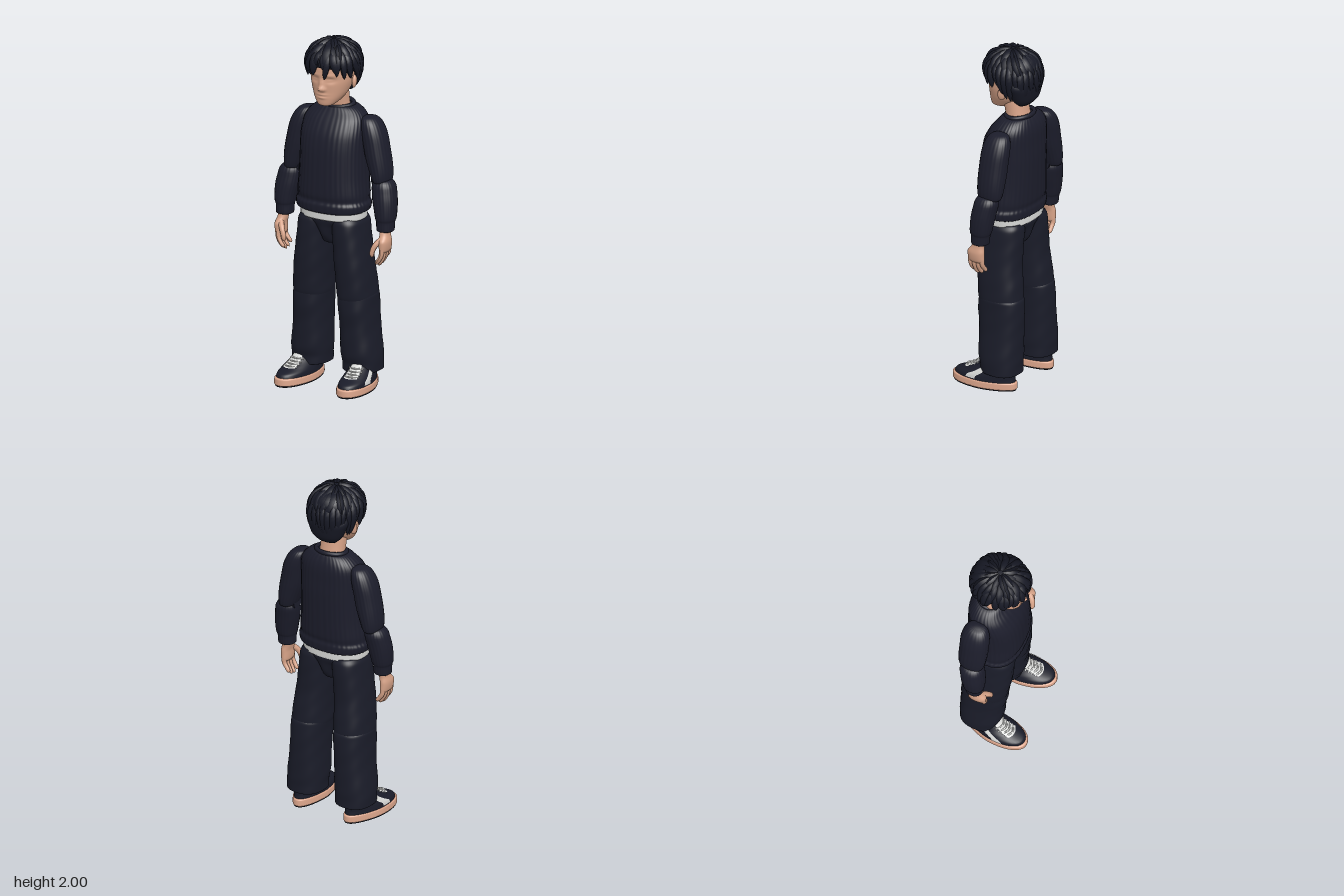
import * as THREE from 'three';

const mat = (name, color) => Object.assign(new THREE.MeshStandardMaterial({ color }), { name });
const M = {
  hair: mat('hairBlack', 0x171925),
  knit: mat('knitNavy', 0x1c1d2b),
  pants: mat('trouserNavy', 0x1a1c29),
  skin: mat('skin', 0xd6a287),
  sole: mat('soleTan', 0xdda68c),
  white: mat('white', 0xd9dad8),
};
M.white.side = THREE.DoubleSide;

function add(parent, name, geometry, material) {
  const mesh = new THREE.Mesh(geometry, material);
  mesh.name = name;
  parent.add(mesh);
  return mesh;
}

// Smooth, overshoot-free blend of sections [y, cx, cz, rx, rz] at t in 0..1
function sectionAt(s, t) {
  const last = s.length - 1, f = Math.min(t * last, last - 1e-6), i = Math.floor(f), u = f - i;
  const tangent = (k, c) => {
    if (k === 0 || k === last) return s[Math.min(k + 1, last)][c] - s[Math.max(k - 1, 0)][c];
    const d0 = s[k][c] - s[k - 1][c], d1 = s[k + 1][c] - s[k][c];
    return d0 * d1 <= 0 ? 0 : 2 * d0 * d1 / (d0 + d1);
  };
  return s[i].map((p, c) => {
    const q = s[i + 1][c], u2 = u * u, u3 = u2 * u;
    return p * (2 * u3 - 3 * u2 + 1) + tangent(i, c) * (u3 - 2 * u2 + u) + q * (3 * u2 - 2 * u3) + tangent(i + 1, c) * (u3 - u2);
  });
}

// Lofted body of superellipse rings, bottom to top; an angle range makes an open patch
function loft(sections, o = {}) {
  const { n = 2.2, segs = 40, rings = 28, rib = 0, ribs = 0, fold = 0, grow = 0, a0 = 0, a1 = Math.PI * 2, t0 = 0, t1 = 1, warp } = o;
  const closed = a1 - a0 > 6.28, cols = closed ? segs : segs + 1;
  const pos = [], idx = [];
  const pw = v => Math.sign(v) * Math.abs(v) ** (2 / n);
  const put = (x, y, z) => { const p = new THREE.Vector3(x, y, z); if (warp) warp(p); pos.push(p.x, p.y, p.z); };
  for (let j = 0; j <= rings; j++) {
    const [y, cx, cz, rx, rz] = sectionAt(sections, t0 + (t1 - t0) * j / rings);
    for (let i = 0; i < cols; i++) {
      const a = a0 + (a1 - a0) * i / segs;
      const k = 1 + rib * Math.cos(ribs * a) + fold * Math.sin(3 * a + 22 * y) * Math.sin(31 * y + a);
      put(cx + (rx + grow) * k * pw(Math.cos(a)), y + grow, cz + (rz + grow) * k * pw(Math.sin(a)));
    }
  }
  for (let j = 0; j < rings; j++) for (let i = 0; i < segs; i++) {
    const p = j * cols + i, q = j * cols + (i + 1) % cols;
    idx.push(p, p + cols, q, q, p + cols, q + cols);
  }
  if (closed) for (const top of [0, 1]) {
    const [y, cx, cz] = sections[top ? sections.length - 1 : 0], c = pos.length / 3, r = top * rings * cols;
    put(cx, y, cz);
    for (let i = 0; i < cols; i++) {
      const p = r + i, q = r + (i + 1) % cols;
      if (top) idx.push(c, q, p);
      else idx.push(c, p, q);
    }
  }
  const g = new THREE.BufferGeometry();
  g.setAttribute('position', new THREE.Float32BufferAttribute(pos, 3));
  g.setIndex(idx);
  g.computeVertexNormals();
  return g;
}

// Tube whose radius follows a profile f(t)
function taperTube(points, r, f, steps = 12, sides = 8) {
  const curve = new THREE.CatmullRomCurve3(points);
  const g = new THREE.TubeGeometry(curve, steps, r, sides), p = g.attributes.position, v = new THREE.Vector3();
  for (let i = 0; i < p.count; i++) {
    const t = Math.floor(i / (sides + 1)) / steps, c = curve.getPointAt(t);
    v.fromBufferAttribute(p, i).sub(c).multiplyScalar(f(t)).add(c);
    p.setXYZ(i, v.x, v.y, v.z);
  }
  g.computeVertexNormals();
  return g;
}
const V = (x, y, z) => new THREE.Vector3(x, y, z);
const side = (s, rows) => rows.map(([y, cx, ...r]) => [y, cx * s, ...r]);

function buildHead(root) {
  const head = new THREE.Group();
  head.name = 'head';
  root.add(head);
  // Face features are soft bumps and hollows on the front of the skull
  const bump = (p, x, y, sx, sy, h) => { p.z += h * Math.exp(-(((p.x - x) / sx) ** 2) - ((p.y - y) / sy) ** 2); };
  const face = p => {
    if (p.z < 0.03) return;
    bump(p, 0, 1.735, 0.016, 0.016, 0.026);
    bump(p, 0, 1.765, 0.013, 0.026, 0.014);
    for (const s of [-1, 1]) {
      bump(p, s * 0.05, 1.785, 0.027, 0.015, -0.013);
      bump(p, s * 0.048, 1.783, 0.02, 0.007, 0.007);
      bump(p, s * 0.05, 1.812, 0.035, 0.01, 0.004);
      bump(p, s * 0.016, 1.729, 0.01, 0.009, 0.008);
    }
    bump(p, 0, 1.699, 0.026, 0.007, 0.007);
    bump(p, 0, 1.691, 0.03, 0.003, -0.005);
    bump(p, 0, 1.682, 0.022, 0.007, 0.007);
  };
  add(head, 'face', loft([[1.628, 0, 0.05, 0.015, 0.015], [1.636, 0, 0.04, 0.042, 0.043], [1.67, 0, 0.01, 0.075, 0.08],
    [1.72, 0, -0.018, 0.102, 0.108], [1.78, 0, -0.03, 0.117, 0.123], [1.84, 0, -0.035, 0.12, 0.13],
    [1.9, 0, -0.04, 0.11, 0.12], [1.95, 0, -0.04, 0.07, 0.08], [1.96, 0, -0.04, 0.02, 0.02]],
  { segs: 88, rings: 80, warp: face }), M.skin);
  add(head, 'neck', loft([[1.56, 0, -0.088, 0.078, 0.065], [1.63, 0, -0.073, 0.072, 0.063], [1.73, 0, -0.055, 0.075, 0.065]], { rings: 8 }), M.skin);
  for (const s of [-1, 1]) {
    const ear = add(head, s > 0 ? 'leftEar' : 'rightEar', new THREE.SphereGeometry(1, 20, 14), M.skin);
    ear.scale.set(0.014, 0.038, 0.024);
    ear.position.set(s * 0.124, 1.762, -0.055);
    ear.rotation.set(-0.2, s * 0.35, 0);
  }
  // Hair mass, stepped back below the fringe
  add(head, 'hairCap', loft([[1.685, 0, -0.13, 0.06, 0.03], [1.72, 0, -0.128, 0.095, 0.06], [1.78, 0, -0.125, 0.122, 0.076],
    [1.81, 0, -0.112, 0.135, 0.09], [1.84, 0, -0.07, 0.14, 0.13], [1.865, 0, -0.048, 0.142, 0.152],
    [1.92, 0, -0.05, 0.127, 0.146], [1.965, 0, -0.06, 0.085, 0.1], [1.985, 0, -0.06, 0.03, 0.04]]), M.hair);
  // Locks run from the crown over an egg-shaped scalp
  const scalp = (phi, th, k) => {
    const c = Math.cos(th), r = c > 0 ? Math.sin(th) : Math.sqrt(Math.sin(th));
    return V(0.138 * r * k * Math.sin(phi), 1.862 + (c > 0 ? 0.118 : 0.19) * c, -0.042 + 0.152 * r * k * Math.cos(phi));
  };
  let seed = 7;
  const rnd = () => (seed = (seed * 16807) % 2147483647) / 2147483647;
  const deg = Math.PI / 180;
  const endAngle = phi => {
    const a = Math.abs(phi);
    return a < 0.2 ? 94 : a < 0.85 ? 105 : a < 1.75 ? 114 : a < 2.2 ? 130 : 150;
  };
  const layers = [[30, 50, 0, 0.021], [22, 25, 88, 0.022], [12, 4, 58, 0.021]];
  layers.forEach(([count, from, to, r], layer) => {
    for (let i = 0; i < count; i++) {
      const phi = ((i + 0.5 + layer * 0.3) / count * 2 - 1) * Math.PI;
      const end = (to || endAngle(phi)) + (rnd() - 0.5) * 14, sweep = Math.sign(phi) * 0.12 + (rnd() - 0.5) * 0.5;
      const pts = [0, 0.35, 0.7, 1].map(t => scalp(phi + sweep * t * t, (from + (end - from) * t) * deg, t === 1 ? 1.07 : 1 + 0.03 * t));
      add(head, 'hairLock', taperTube(pts, r * (0.85 + 0.35 * rnd()), t => 0.06 + Math.max(0, Math.sin(Math.PI * (0.2 + 0.8 * t))) ** 0.7), M.hair);
    }
  });
}

function buildTorso(root) {
  add(root, 'sweater', loft([[1.015, 0, -0.04, 0.19, 0.14], [1.025, 0, -0.04, 0.209, 0.153], [1.06, 0, -0.04, 0.216, 0.156],
    [1.085, 0, -0.042, 0.205, 0.15], [1.12, 0, -0.042, 0.206, 0.156], [1.22, 0, -0.045, 0.197, 0.157], [1.35, 0, -0.05, 0.194, 0.156],
    [1.45, 0, -0.057, 0.195, 0.147], [1.53, 0, -0.075, 0.186, 0.126], [1.58, 0, -0.088, 0.153, 0.098], [1.607, 0, -0.09, 0.108, 0.078],
    [1.612, 0, -0.09, 0.07, 0.06]], { n: 2.4, segs: 240, rings: 44, rib: 0.005, ribs: 40 }), M.knit);
  const collar = add(root, 'collar', new THREE.TorusGeometry(0.089, 0.013, 12, 48).rotateX(Math.PI / 2), M.knit);
  collar.scale.z = 0.82;
  collar.position.set(0, 1.61, -0.09);
  collar.rotation.x = 0.1;
  add(root, 'shirtHem', loft([[0.972, 0, -0.042, 0.18, 0.13], [0.978, 0, -0.042, 0.19, 0.138], [1.03, 0, -0.042, 0.192, 0.138]], { n: 2.4, rings: 8 }), M.white);
  add(root, 'pelvis', loft([[0.815, 0, -0.045, 0.015, 0.03], [0.83, 0, -0.045, 0.04, 0.075], [0.88, 0, -0.045, 0.055, 0.112],
    [0.93, 0, -0.045, 0.1, 0.122], [0.97, 0, -0.045, 0.18, 0.13], [1.0, 0, -0.045, 0.18, 0.13]]), M.pants);
}

function buildArm(root, s) {
  const arm = new THREE.Group();
  arm.name = s > 0 ? 'leftArm' : 'rightArm';
  root.add(arm);
  const knit = { segs: 132, rings: 28, rib: 0.007, ribs: 22 };
  add(arm, 'upperSleeve', loft(side(s, [[1.19, 0.285, -0.09, 0.025, 0.04], [1.2, 0.285, -0.09, 0.044, 0.068], [1.25, 0.278, -0.09, 0.058, 0.078],
    [1.35, 0.256, -0.09, 0.068, 0.082], [1.45, 0.236, -0.092, 0.067, 0.082], [1.52, 0.215, -0.094, 0.058, 0.072],
    [1.555, 0.2, -0.095, 0.038, 0.048], [1.564, 0.195, -0.095, 0.01, 0.015]]), knit), M.knit);
  add(arm, 'elbow', new THREE.CylinderGeometry(0.034, 0.034, 0.08, 24).rotateZ(Math.PI / 2).translate(s * 0.275, 1.205, -0.083), M.knit);
  add(arm, 'lowerSleeve', loft(side(s, [[0.925, 0.325, -0.055, 0.038, 0.04], [0.932, 0.325, -0.055, 0.048, 0.05], [0.98, 0.325, -0.057, 0.05, 0.054],
    [0.997, 0.325, -0.058, 0.056, 0.06], [1.04, 0.322, -0.062, 0.062, 0.065], [1.11, 0.312, -0.07, 0.069, 0.068],
    [1.17, 0.302, -0.08, 0.067, 0.068], [1.207, 0.298, -0.083, 0.048, 0.052], [1.218, 0.298, -0.083, 0.015, 0.02]]), knit), M.knit);
  // Relaxed hand
  add(arm, 'palm', loft(side(s, [[0.81, 0.333, -0.035, 0.013, 0.04], [0.825, 0.335, -0.035, 0.023, 0.052], [0.87, 0.337, -0.033, 0.028, 0.053],
    [0.91, 0.33, -0.043, 0.028, 0.038], [0.95, 0.325, -0.053, 0.03, 0.034]]), { segs: 32, rings: 24 }), M.skin);
  const round = t => (1 - 0.25 * t) * Math.sqrt(Math.max(0.002, 1 - Math.max(0, (t - 0.8) / 0.2) ** 2));
  for (let i = 0; i < 4; i++) {
    const z = 0.005 - i * 0.026, drop = [0.012, 0, 0.005, 0.022][i];
    add(arm, 'finger', taperTube([V(s * 0.336, 0.835, z), V(s * 0.332, 0.79 + drop * 0.5, z), V(s * 0.316, 0.755 + drop, z), V(s * 0.295, 0.73 + drop, z - 0.004)], 0.0148, round, 16, 12), M.skin);
  }
  add(arm, 'thumb', taperTube([V(s * 0.325, 0.885, -0.01), V(s * 0.302, 0.855, 0.016), V(s * 0.288, 0.82, 0.024), V(s * 0.283, 0.785, 0.022)], 0.0175, round, 16, 12), M.skin);
}

function buildLeg(root, s) {
  const leg = new THREE.Group();
  leg.name = s > 0 ? 'leftLeg' : 'rightLeg';
  root.add(leg);
  const cloth = { n: 2.4, segs: 48, rings: 44, fold: 0.012 };
  add(leg, 'upperTrouser', loft(side(s, [[0.48, 0.142, -0.065, 0.07, 0.09], [0.495, 0.142, -0.065, 0.094, 0.118], [0.54, 0.141, -0.063, 0.102, 0.13],
    [0.62, 0.137, -0.057, 0.1, 0.132], [0.75, 0.126, -0.046, 0.097, 0.13], [0.88, 0.114, -0.046, 0.092, 0.132],
    [0.95, 0.106, -0.046, 0.092, 0.13], [0.985, 0.1, -0.046, 0.082, 0.118]]), cloth), M.pants);
  add(leg, 'lowerTrouser', loft(side(s, [[0.095, 0.162, -0.085, 0.095, 0.105], [0.1, 0.163, -0.085, 0.106, 0.115], [0.14, 0.163, -0.084, 0.108, 0.116],
    [0.2, 0.16, -0.078, 0.11, 0.124], [0.35, 0.151, -0.075, 0.102, 0.126], [0.46, 0.146, -0.069, 0.101, 0.133],
    [0.53, 0.143, -0.068, 0.102, 0.13], [0.555, 0.143, -0.07, 0.085, 0.105], [0.562, 0.143, -0.07, 0.03, 0.04]]), cloth), M.pants);
  // Shoe, turned slightly outward, narrower at the heel
  const shoe = new THREE.Group();
  shoe.name = s > 0 ? 'leftShoe' : 'rightShoe';
  shoe.position.x = s * 0.187;
  shoe.rotation.y = s * 0.1;
  leg.add(shoe);
  const warp = p => { p.x *= 1 - 0.22 * Math.max(0, Math.min(1, -p.z / 0.16)); };
  const upper = [[0.04, 0, 0.01, 0.084, 0.19], [0.065, 0, 0.005, 0.082, 0.183], [0.09, 0, -0.025, 0.077, 0.153], [0.115, 0, -0.05, 0.068, 0.125], [0.15, 0, -0.07, 0.055, 0.1]];
  add(shoe, 'outsole', loft([[0, 0, 0.01, 0.084, 0.194], [0.01, 0, 0.01, 0.086, 0.197]], { warp, rings: 2 }), M.pants);
  add(shoe, 'sole', loft([[0.007, 0, 0.01, 0.086, 0.196], [0.014, 0, 0.01, 0.09, 0.2], [0.042, 0, 0.01, 0.089, 0.199], [0.05, 0, 0.01, 0.08, 0.19]], { warp, rings: 15 }), M.sole);
  add(shoe, 'shoeUpper', loft(upper, { warp }), M.pants);
  add(shoe, 'lacePanel', loft(upper, { warp, grow: 0.003, a0: Math.PI / 2 - 0.5, a1: Math.PI / 2 + 0.5, t0: 0.5, t1: 1, segs: 16, rings: 14 }), M.white);
  const mid = s > 0 ? 0.26 : Math.PI - 0.26;
  add(shoe, 'sidePanel', loft(upper, { warp, grow: 0.003, a0: mid - 0.16, a1: mid + 0.16, t0: 0.12, t1: 0.85, segs: 12, rings: 16 }), M.white);
  for (let i = 0; i < 4; i++) {
    const [y, , cz, , rz] = sectionAt(upper, 0.55 + i * 0.1);
    const z = cz + rz;
    add(shoe, 'lace', new THREE.TubeGeometry(new THREE.CatmullRomCurve3([V(-0.042, y + 0.001, z - 0.022), V(0, y + 0.007, z + 0.002), V(0.042, y + 0.001, z - 0.022)]), 12, 0.005, 8), M.white);
  }
}

export function createModel() {
  const root = new THREE.Group();
  root.name = 'standingFigure';
  buildHead(root);
  buildTorso(root);
  for (const s of [-1, 1]) {
    buildArm(root, s);
    buildLeg(root, s);
  }
  return root;
}
